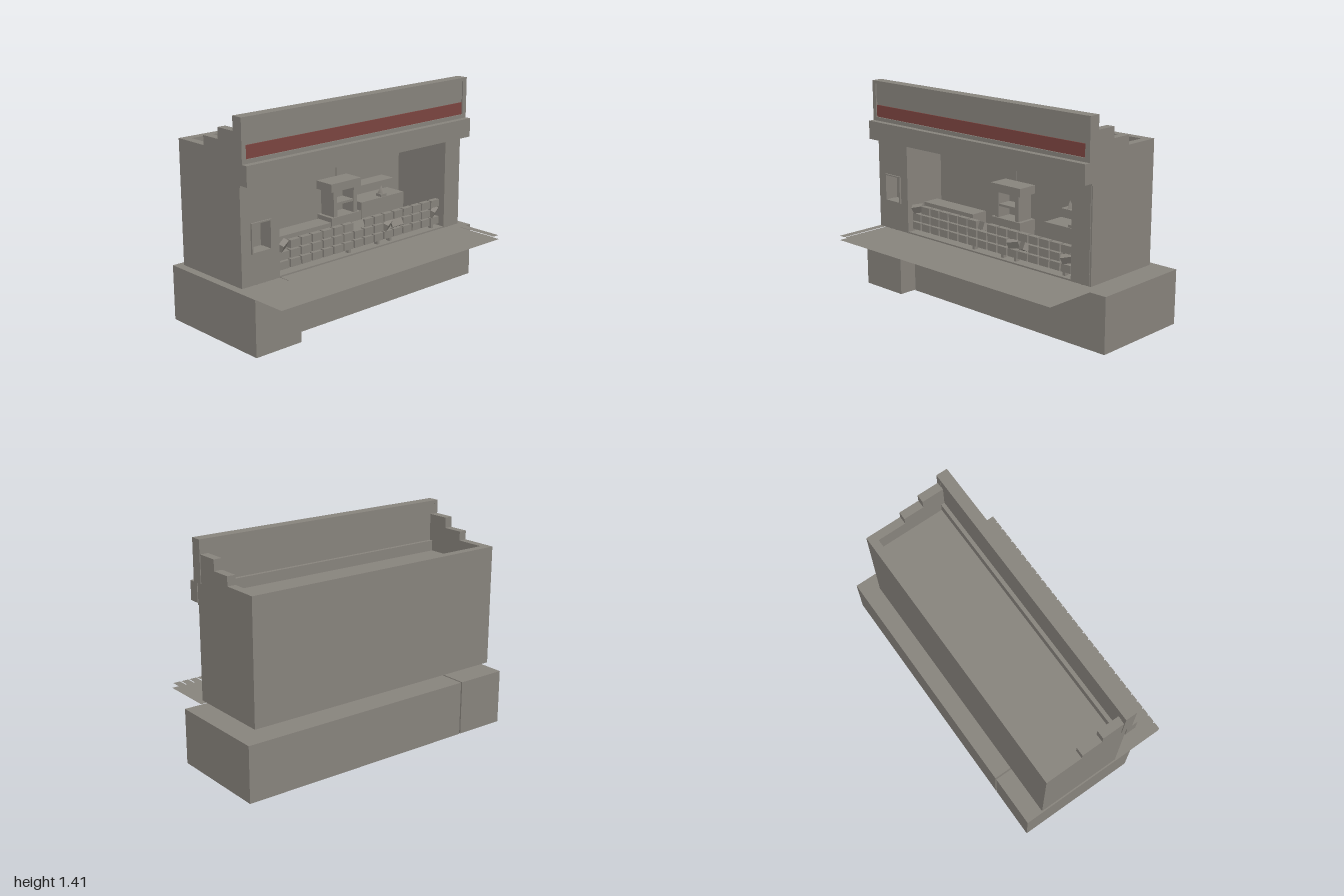
import * as THREE from 'three';

export function createModel() {
  const root = new THREE.Group();
  root.name = 'shopFront';
  const stone = new THREE.MeshStandardMaterial({ color: 0x88847d });
  stone.name = 'stone grey';
  const sheet = new THREE.MeshStandardMaterial({ color: 0x88847d, side: THREE.DoubleSide });
  sheet.name = 'plank grey';
  const red = new THREE.MeshStandardMaterial({ color: 0x7c4540 });
  red.name = 'sign red';

  const group = (name) => {
    const g = new THREE.Group();
    g.name = name;
    root.add(g);
    return g;
  };
  const add = (parent, name, geo, mat = stone) => {
    const m = new THREE.Mesh(geo, mat);
    m.name = name;
    parent.add(m);
    return m;
  };
  // Box given by its limits on each axis
  const box = (parent, name, x0, x1, y0, y1, z0, z1, mat) => {
    const m = add(parent, name, new THREE.BoxGeometry(x1 - x0, y1 - y0, z1 - z0), mat);
    m.position.set((x0 + x1) / 2, (y0 + y1) / 2, (z0 + z1) / 2);
    return m;
  };

  const L = -0.995, R = 0.88, WALL = 0.055, BACK = -0.415, FRONT = 0.165;

  // Foundation in two blocks with a narrow gap
  const base = group('foundation');
  box(base, 'mainBlock', -0.645, 1, 0, 0.36, -0.53, 0.17);
  box(base, 'sideBlock', -1, -0.655, 0, 0.36, -0.53, 0.29);

  // Boardwalk: thin planks above a plain sheet
  const deck = group('boardwalk');
  const flat = (name, x0, x1, y, z0, z1) => {
    const geo = new THREE.PlaneGeometry(x1 - x0, z1 - z0).rotateX(-Math.PI / 2);
    add(deck, name, geo, sheet).position.set((x0 + x1) / 2, y, (z0 + z1) / 2);
  };
  flat('underSheet', -1, 0.885, 0.362, 0.172, 0.525);
  const planks = 32, pitch = 1.885 / planks;
  for (let i = 0; i < planks; i++) {
    const x = -1 + i * pitch;
    flat('plank', x, x + pitch - 0.009, 0.392, 0.165, 0.525);
  }

  // Shell of the building
  const shell = group('building');
  box(shell, 'floor', L, R, 0.39, 0.4, BACK, FRONT - 0.005);
  box(shell, 'backWall', L, R, 0.4, 1.19, BACK, BACK + WALL);
  box(shell, 'roof', L + WALL, R - WALL, 1.03, 1.07, BACK + WALL, 0.125);

  // Side walls with stepped parapets
  const profile = new THREE.Shape();
  [[BACK + WALL, 0.4], [0.125, 0.4], [0.125, 1.32], [-0.025, 1.32], [-0.025, 1.25],
    [-0.165, 1.25], [-0.165, 1.19], [BACK + WALL, 1.19]]
    .forEach(([z, y], i) => (i ? profile.lineTo(-z, y) : profile.moveTo(-z, y)));
  for (const x of [L, R - WALL]) {
    const geo = new THREE.ExtrudeGeometry(profile, { depth: WALL, bevelEnabled: false });
    const wall = add(shell, 'sideWall', geo.rotateY(Math.PI / 2));
    wall.position.x = x;
  }

  // Front pillars, the left-hand one with a niche
  const face = new THREE.Shape();
  face.moveTo(L, 0.39).lineTo(-0.71, 0.39).lineTo(-0.71, 1.015).lineTo(L, 1.015);
  const hole = new THREE.Path();
  hole.moveTo(-0.92, 0.59).lineTo(-0.92, 0.77).lineTo(-0.78, 0.77).lineTo(-0.78, 0.59);
  face.holes.push(hole);
  const nichePillar = add(shell, 'nichePillar',
    new THREE.ExtrudeGeometry(face, { depth: 0.09, bevelEnabled: false }));
  nichePillar.position.z = FRONT - 0.09;
  box(shell, 'nicheBack', -0.93, -0.77, 0.58, 0.78, 0.06, 0.076);
  for (const [x0, x1, y0, y1] of [[-0.924, -0.916, 0.59, 0.77], [-0.784, -0.776, 0.59, 0.77],
    [-0.924, -0.776, 0.586, 0.594], [-0.924, -0.776, 0.766, 0.774]])
    box(shell, 'nicheTrim', x0, x1, y0, y1, 0.1, 0.177);
  box(shell, 'pillar', 0.73, 0.87, 0.39, 1.015, 0.075, FRONT);
  box(shell, 'pillarEdge', 0.87, R, 0.39, 1.015, 0.1, FRONT - 0.005);

  // Lintel and cornice
  box(shell, 'lintel', L, R, 1.0, 1.14, 0.1, 0.17);
  box(shell, 'cornice', -1, 0.885, 1.015, 1.14, 0.165, 0.24);

  // Sign board with raised ends, rims and a red stripe
  const sign = group('signBoard');
  box(sign, 'panel', -0.97, 0.85, 1.07, 1.39, 0.125, 0.185);
  box(sign, 'topRim', -0.97, 0.85, 1.39, 1.41, 0.123, 0.2);
  box(sign, 'bottomRim', -0.97, 0.85, 1.14, 1.165, 0.185, 0.2);
  box(sign, 'upperPanel', -0.97, 0.85, 1.265, 1.39, 0.185, 0.192);
  box(sign, 'leftEnd', -1, -0.97, 1.14, 1.41, 0.123, 0.2);
  box(sign, 'rightEnd', 0.85, 0.885, 1.14, 1.41, 0.123, 0.2);
  box(sign, 'redStripe', -0.97, 0.85, 1.165, 1.245, 0.185, 0.192, red);

  // Panels on the inner back wall, and the counters
  const room = group('interior');
  const inner = BACK + WALL;
  box(room, 'wallPanel', -0.665, -0.2, 0.6, 0.97, inner, inner + 0.006);
  box(room, 'wallPanel', 0.22, 0.69, 0.6, 0.97, inner, inner + 0.006);
  box(room, 'frontCounter', -0.665, -0.2, 0.4, 0.6, -0.065, 0.055);
  box(room, 'rearCounter', 0.25, 0.65, 0.4, 0.6, -0.3, -0.14);
  box(room, 'shelf', 0.3, 0.65, 0.668, 0.68, inner, -0.24);

  // Oven tower with open front and shelves
  const oven = group('oven');
  box(oven, 'plinth', -0.115, 0.14, 0.4, 0.59, -0.17, -0.03);
  for (const x of [-0.09, 0.085]) box(oven, 'cheek', x, x + 0.03, 0.59, 0.76, -0.16, -0.04);
  box(oven, 'ovenBack', -0.06, 0.085, 0.59, 0.76, -0.16, -0.145);
  box(oven, 'ovenShelf', -0.06, 0.085, 0.665, 0.68, -0.145, -0.045);
  box(oven, 'hood', -0.12, 0.14, 0.76, 0.815, -0.17, -0.03);

  // Small pointed ornaments
  for (const [x, y, z] of [[0.35, 0.707, -0.27], [0.465, 0.645, -0.17]]) {
    const cone = add(room, 'ornament', new THREE.ConeGeometry(0.028, 0.054, 3));
    cone.position.set(x, y, z);
  }
  box(room, 'ornamentStand', 0.44, 0.49, 0.6, 0.618, -0.195, -0.145);

  // Low wall of spaced bricks, a few of them tipped
  const bricks = group('brickWall');
  const tipped = { '2,0': 0.5, '2,7': -0.4, '1,10': 0.45, '1,11': -0.5, '1,15': 0.5 };
  for (let row = 0; row < 3; row++) {
    for (let i = 0; i < 16; i++) {
      const x = -0.69 + i * 0.088, y = 0.424 + row * 0.06;
      const brick = box(bricks, 'brick', x, x + 0.076, y, y + 0.05, 0.105, 0.14);
      const turn = tipped[`${row},${i}`];
      if (turn) brick.rotation.set(turn, turn, 0);
    }
  }
  for (let i = 0; i < 4; i++) {
    const x = [-0.115, 0.14, 0.25, 0.65][i];
    box(bricks, 'foot', x - 0.01, x + 0.01, 0.4, 0.424, 0.105, 0.135);
  }
  return root;
}
